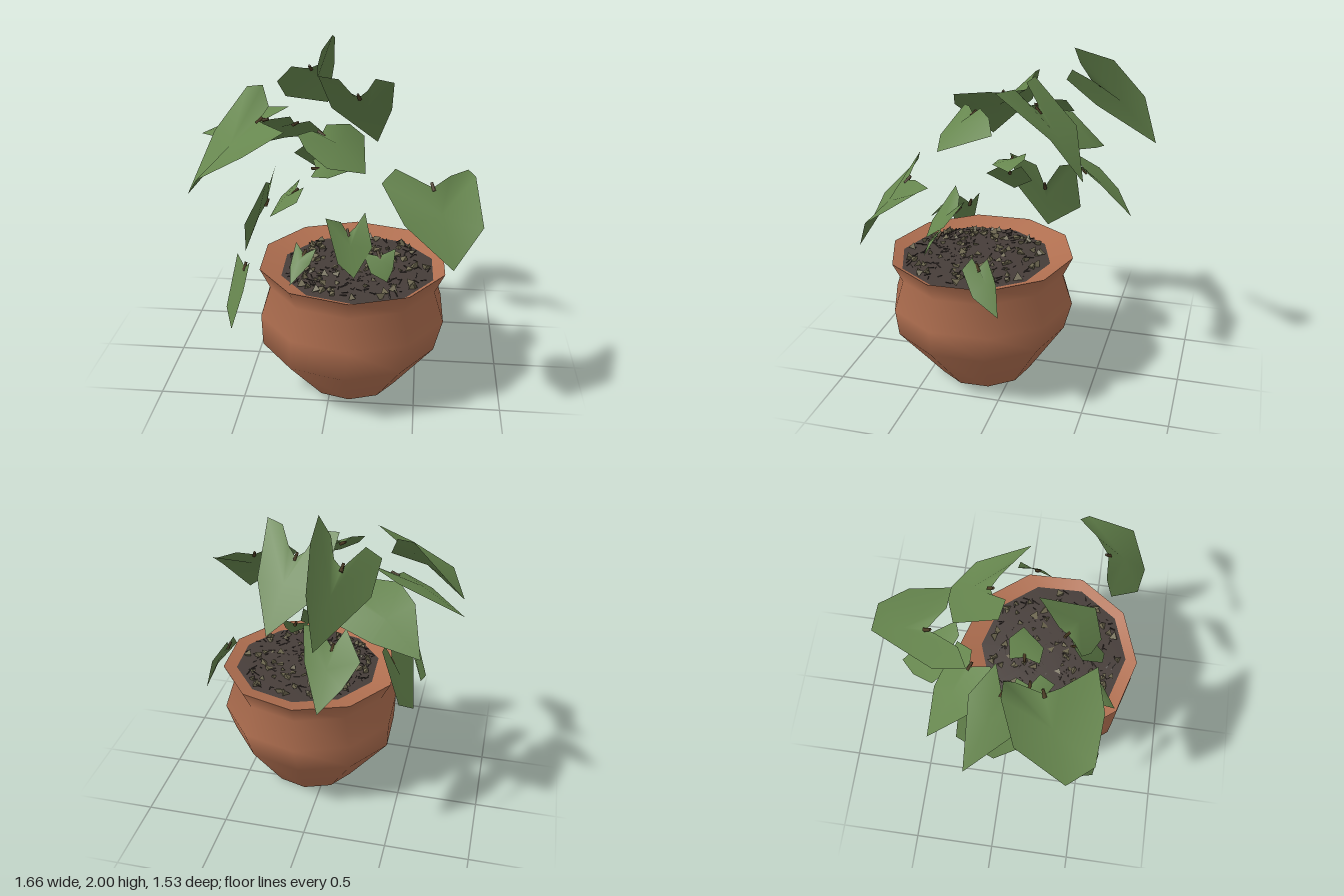
import * as THREE from 'three';

export function createModel() {
  const model = new THREE.Group();
  const mat = (name, color, side = THREE.FrontSide) => {
    const m = new THREE.MeshStandardMaterial({ color, side });
    m.name = name;
    return m;
  };
  const clay = mat('terracotta', 0xb06f50);
  const earth = mat('dark soil', 0x463d39);
  const stone = mat('pebble', 0x6e6850);
  const bark = mat('stem brown', 0x4a3a22);
  const green = mat('leaf green', 0x66864e, THREE.DoubleSide);
  stone.flatShading = true;
  const add = (name, geo, m, parent = model) => {
    const mesh = new THREE.Mesh(geo, m);
    mesh.name = name;
    parent.add(mesh);
    return mesh;
  };

  // Pot: ten-sided turned shapes; each profile point is radius, height and a sideways shift of that ring
  const pot = new THREE.Group();
  pot.name = 'pot';
  pot.position.set(0.12, 0, 0.205);
  model.add(pot);
  const turn = (name, m, ...profile) => {
    const geo = new THREE.LatheGeometry(profile.map(p => new THREE.Vector2(p[0], p[1])), 10, 0.03);
    const pos = geo.attributes.position;
    for (let i = 0; i < pos.count; i++) {
      const [, , dx = 0, dz = 0] = profile[i % profile.length];
      pos.setXYZ(i, pos.getX(i) + dx, pos.getY(i), pos.getZ(i) + dz);
    }
    add(name, geo, m, pot);
  };
  turn('potBase', clay, [0, 0, -0.01, -0.01], [0.28, 0, -0.01, -0.01]);
  turn('potBody', clay, [0.28, 0, -0.01, -0.01], [0.525, 0.31, -0.02, 0.02], [0.555, 0.49], [0.497, 0.67], [0.555, 0.79]);
  turn('potRimInside', clay, [0.555, 0.79], [0.455, 0.755, 0.03, 0.03]);
  turn('soil', earth, [0.455, 0.755, 0.03, 0.03], [0.25, 0.77, 0.03, 0.03], [0, 0.77, 0.03, 0.03]);

  // Loose pebbles and bark chips scattered on the soil
  let seed = 7;
  const rand = () => (seed = (seed * 16807) % 2147483647) / 2147483647;
  const pebble = new THREE.TetrahedronGeometry(0.036);
  const chip = new THREE.BoxGeometry(0.05, 0.005, 0.006);
  for (let i = 0; i < 300; i++) {
    const a = rand() * Math.PI * 2, r = 0.42 * Math.sqrt(rand());
    const isStone = i % 3 === 0;
    const bit = add(isStone ? 'pebble' : 'barkChip', isStone ? pebble : chip, isStone ? stone : earth, pot);
    bit.position.set(0.03 + Math.sin(a) * r, 0.77, 0.03 + Math.cos(a) * r);
    bit.rotation.set(rand() * (isStone ? 6 : 0.5), rand() * 6, rand() * 0.5);
    bit.scale.setScalar(0.45 + rand() * 0.55);
  }

  // Leaf: a heart outline that starts at the notch, fanned about its midrib
  const stub = new THREE.CylinderGeometry(0.008, 0.012, 0.05, 5);
  const leaf = (name, tip, ...outline) => {
    const notch = outline[0], t = outline[tip];
    const mid = notch.map((v, k) => v * 0.6 + t[k] * 0.4);
    mid[1] += 0.03;
    const pos = [...mid, ...outline.flat()], index = [], n = outline.length;
    for (let i = 0; i < n; i++) index.push(0, 1 + i, 1 + ((i + 1) % n));
    const geo = new THREE.BufferGeometry();
    geo.setAttribute('position', new THREE.Float32BufferAttribute(pos, 3));
    geo.setIndex(index);
    geo.computeVertexNormals();
    // keep the upper face as the front
    let up = 0;
    for (let i = 0; i <= n; i++) up += geo.attributes.normal.getY(i);
    if (up < 0) {
      geo.setIndex(index.reverse());
      geo.computeVertexNormals();
    }
    add(name, geo, green);
    // cut stem end in the notch
    const root = new THREE.Vector3(...notch);
    const dir = root.clone().sub(new THREE.Vector3(...t)).normalize();
    const stem = add('stemEnd', stub, bark);
    stem.position.copy(root).addScaledVector(dir, 0.005);
    stem.quaternion.setFromUnitVectors(new THREE.Vector3(0, 1, 0), dir);
  };

  // Upper leaves
  leaf('topLeaf', 6, [-0.2, 1.77, -0.42], [-0.15, 1.8, -0.38], [-0.12, 1.9, -0.32], [-0.05, 2.0, -0.3], [-0.06, 1.94, -0.52],
    [-0.08, 1.74, -0.7], [-0.13, 1.46, -0.77], [-0.35, 1.6, -0.38], [-0.37, 1.74, -0.19], [-0.29, 1.82, -0.24], [-0.22, 1.78, -0.37]);
  leaf('upperBackLeaf', 5, [0.12, 1.67, -0.14], [0.17, 1.72, -0.1], [0.22, 1.81, -0.03], [0.33, 1.81, 0.05], [0.31, 1.57, -0.25],
    [0.22, 1.31, -0.42], [-0.06, 1.55, -0.32], [-0.11, 1.81, -0.06], [0.01, 1.8, -0.04], [0.07, 1.7, -0.12]);
  leaf('leftSideLeaf', 5, [0.56, 1.36, 0.48], [0.65, 1.4, 0.4], [0.75, 1.4, 0.29], [0.79, 1.38, 0.34], [0.83, 1.2, 0.62],
    [0.68, 1.0, 0.73], [0.42, 1.22, 0.68], [0.29, 1.39, 0.52], [0.36, 1.46, 0.48]);
  leaf('rightSideLeaf', 5, [-0.41, 1.62, 0.22], [-0.38, 1.66, 0.06], [-0.42, 1.77, 0.01], [-0.51, 1.76, 0.01], [-0.69, 1.52, 0.1],
    [-0.79, 1.24, 0.4], [-0.7, 1.38, 0.54], [-0.44, 1.52, 0.55], [-0.23, 1.64, 0.48], [-0.37, 1.63, 0.3]);
  leaf('middleLeaf', 4, [-0.05, 1.58, 0.3], [-0.03, 1.62, 0.25], [0.09, 1.6, 0.16], [0.17, 1.52, 0.12],
    [0.2, 1.41, 0.44], [0.0, 1.45, 0.49], [-0.12, 1.53, 0.44], [-0.17, 1.6, 0.39], [-0.1, 1.61, 0.34]);
  leaf('backRightLeaf', 4, [-0.27, 1.48, -0.2], [-0.28, 1.56, -0.08], [-0.45, 1.54, -0.05], [-0.56, 1.49, -0.19],
    [-0.63, 1.26, -0.39], [-0.36, 1.33, -0.39], [-0.1, 1.39, -0.3], [-0.18, 1.5, -0.2]);
  leaf('lowerBackLeaf', 4, [-0.14, 1.25, -0.36], [-0.05, 1.35, -0.3], [0.03, 1.36, -0.33], [-0.01, 1.22, -0.48],
    [-0.12, 1.0, -0.65], [-0.24, 1.12, -0.55], [-0.31, 1.22, -0.42], [-0.2, 1.34, -0.28]);
  leaf('farRightLeaf', 3, [-0.42, 1.56, 0.0], [-0.28, 1.63, -0.05], [-0.46, 1.59, -0.17],
    [-0.83, 1.42, -0.15], [-0.62, 1.46, 0.08], [-0.45, 1.53, 0.1]);
  leaf('innerLeaf', 3, [-0.11, 1.3, 0.08], [-0.14, 1.33, 0.0], [-0.02, 1.33, -0.02],
    [0.08, 1.28, 0.05], [-0.03, 1.28, 0.18], [-0.13, 1.28, 0.17]);
  leaf('innerRightLeaf', 3, [-0.23, 1.17, 0.13], [-0.17, 1.22, 0.18], [-0.2, 1.16, 0.27],
    [-0.38, 1.01, 0.14], [-0.33, 1.09, 0.01], [-0.21, 1.22, 0.05]);

  // Lower leaves hanging over the rim or standing in the soil
  leaf('hangingRightLeaf', 4, [-0.43, 1.02, -0.05], [-0.4, 1.17, 0.0], [-0.39, 1.24, 0.17], [-0.53, 0.96, 0.15],
    [-0.57, 0.7, -0.04], [-0.51, 0.87, -0.27], [-0.4, 1.2, -0.25], [-0.4, 1.18, -0.15]);
  leaf('lowRightLeaf', 3, [-0.47, 0.84, 0.47], [-0.43, 0.9, 0.53], [-0.46, 0.75, 0.59],
    [-0.54, 0.5, 0.58], [-0.58, 0.6, 0.5], [-0.52, 0.9, 0.42]);
  leaf('frontLeaf', 4, [0.1, 1.02, 0.36], [0.14, 1.05, 0.33], [0.19, 1.12, 0.28], [0.24, 0.96, 0.4],
    [0.15, 0.84, 0.55], [0.06, 0.92, 0.54], [-0.02, 1.13, 0.41], [0.06, 1.09, 0.36]);
  leaf('smallFrontRightLeaf', 3, [-0.13, 0.95, 0.5], [-0.06, 0.99, 0.5], [-0.09, 0.92, 0.56],
    [-0.19, 0.83, 0.65], [-0.2, 0.9, 0.56], [-0.18, 1.0, 0.45]);
  leaf('smallFrontLeftLeaf', 3, [0.28, 0.92, 0.42], [0.37, 0.96, 0.4], [0.36, 0.86, 0.46],
    [0.33, 0.8, 0.5], [0.24, 0.85, 0.5], [0.19, 0.94, 0.43]);
  leaf('smallLeftLeaf', 3, [0.62, 0.91, 0.07], [0.61, 0.97, 0.02], [0.69, 0.86, -0.05],
    [0.73, 0.68, -0.07], [0.7, 0.77, 0.08], [0.6, 0.88, 0.17], [0.6, 0.96, 0.11]);

  return model;
}
